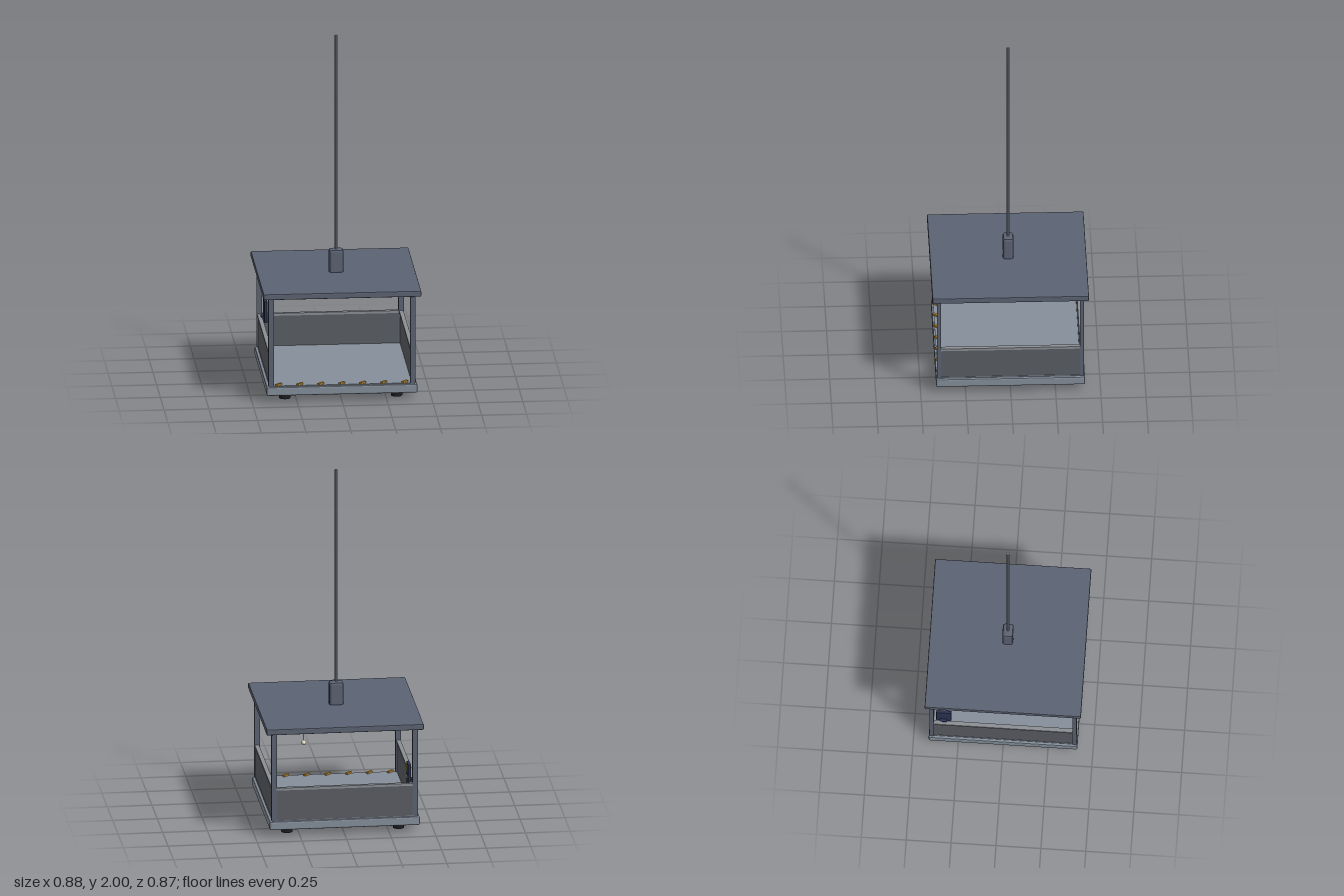
import * as THREE from 'three';
import { RoundedBoxGeometry } from 'three/addons/geometries/RoundedBoxGeometry.js';

const paint = (color) => new THREE.MeshStandardMaterial({ color, flatShading: true });
const slate = paint(0x5b6272), steel = paint(0x848e9a), panelGrey = paint(0x5a5d63);
const railGrey = paint(0x8b8f94), black = paint(0x1c1d20), amber = paint(0xb8862f);
const navy = paint(0x2a3352), yellow = paint(0xd0ac30), cream = paint(0xe8dfc8);

export function createModel() {
  const root = new THREE.Group();

  const add = (name, geometry, material, x, y, z) => {
    const mesh = new THREE.Mesh(geometry, material);
    mesh.name = name;
    mesh.position.set(x, y, z);
    root.add(mesh);
    return mesh;
  };
  const box = (name, w, h, d, material, x, y, z) =>
    add(name, new THREE.BoxGeometry(w, h, d), material, x, y, z);
  // Box with chamfered edges
  const bevelBox = (name, w, h, d, r, material, x, y, z) =>
    add(name, new RoundedBoxGeometry(w, h, d, 1, r), material, x, y, z);
  const rod = (name, r, h, sides, material, x, y, z) =>
    add(name, new THREE.CylinderGeometry(r, r, h, sides), material, x, y, z);

  // Platform and floor
  bevelBox('platform', 0.84, 0.05, 0.828, 0.008, steel, 0, 0.065, 0);
  box('floor', 0.81, 0.01, 0.808, steel, 0, 0.091, 0);

  // Feet and corner posts
  for (const sx of [-1, 1]) {
    for (const sz of [-1, 1]) {
      rod('foot', 0.032, 0.032, 16, black, sx * 0.312, 0.016, sz * 0.312);
      rod('footStem', 0.022, 0.02, 16, black, sx * 0.312, 0.036, sz * 0.312);
      box('post', 0.03, 0.51, 0.022, slate, sx * 0.395, 0.35, sz * 0.398);
    }
    // Side walls
    box('sidePanel', 0.014, 0.18, 0.776, panelGrey, sx * 0.396, 0.185, 0);
    box('sideRail', 0.024, 0.014, 0.776, railGrey, sx * 0.396, 0.277, 0);
  }

  // Back wall
  box('backPanel', 0.762, 0.18, 0.014, panelGrey, 0, 0.185, -0.398);
  box('backRail', 0.762, 0.014, 0.022, railGrey, 0, 0.277, -0.398);

  // Markers along the open front edge
  for (let i = -3; i <= 3; i++) {
    box('edgeMarker', 0.04, 0.012, 0.014, amber, i * 0.117, 0.1, 0.391).rotation.y = Math.PI / 4;
  }

  // Roof, hoist block and mast
  bevelBox('roof', 0.88, 0.034, 0.87, 0.006, slate, 0, 0.618, 0);
  bevelBox('hoistBlock', 0.082, 0.14, 0.06, 0.014, slate, 0, 0.695, 0);
  rod('mast', 0.0075, 1.25, 10, steel, 0, 1.375, 0);

  // Hanging lamp
  rod('lampCord', 0.002, 0.11, 6, black, 0.205, 0.548, -0.205);
  add('lampBulb', new THREE.SphereGeometry(0.014, 12, 8), cream, 0.205, 0.48, -0.205);

  // Control box on the right wall, screen facing inward
  bevelBox('controlBox', 0.018, 0.124, 0.084, 0.004, navy, -0.367, 0.318, -0.333);
  box('controlScreen', 0.004, 0.034, 0.052, yellow, -0.357, 0.353, -0.333);
  for (const dz of [-0.013, 0.013]) {
    rod('controlButton', 0.005, 0.006, 8, cream, -0.356, 0.3, -0.333 + dz).rotation.z = Math.PI / 2;
  }
  box('controlBracket', 0.02, 0.03, 0.04, navy, -0.382, 0.275, -0.333);

  return root;
}
